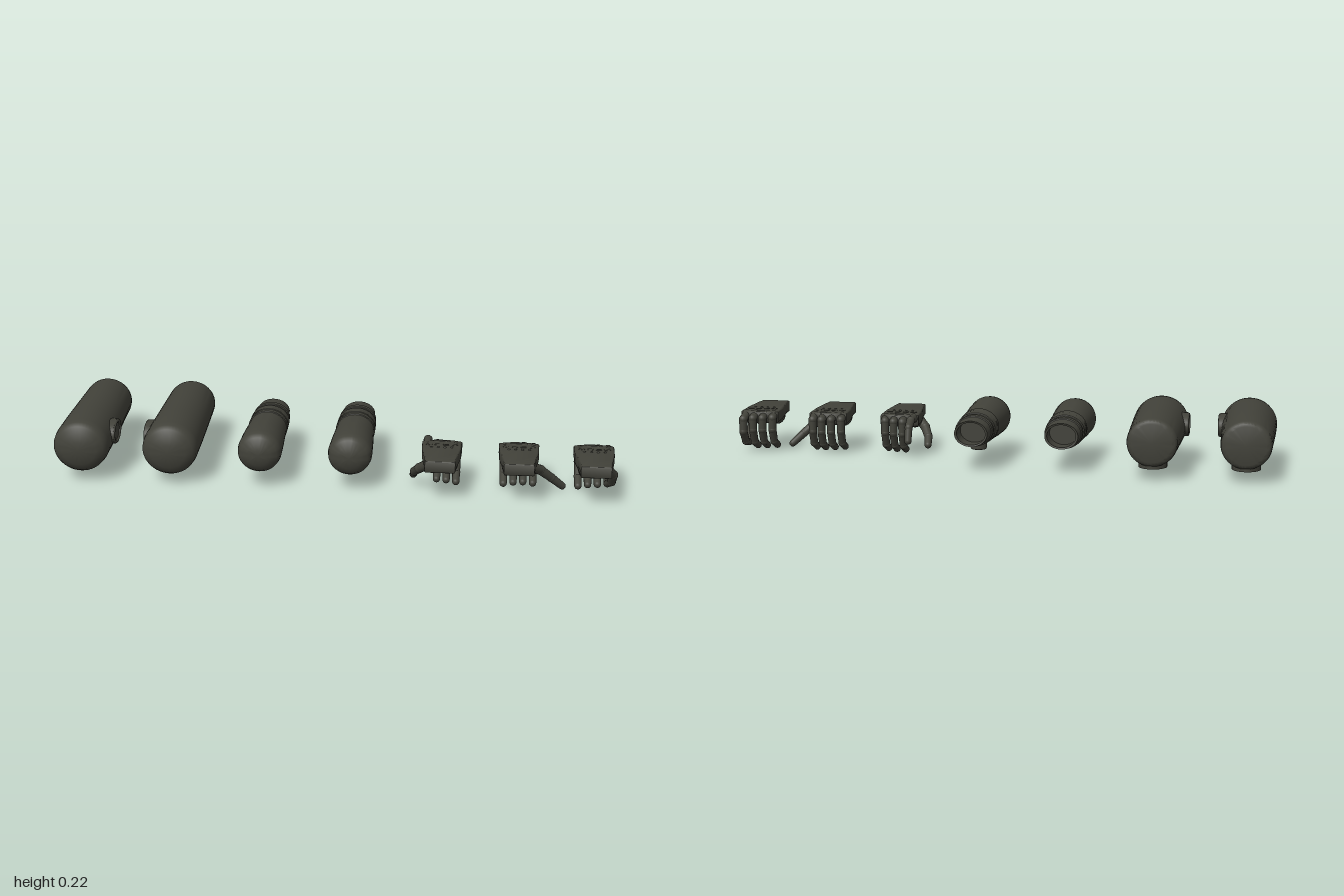
import * as THREE from 'three';
import { toCreasedNormals } from 'three/addons/utils/BufferGeometryUtils.js';

const charcoal = new THREE.MeshStandardMaterial({ color: 0x42423a });
charcoal.name = 'charcoal';

const V = (x, y, z) => new THREE.Vector3(x, y, z);

function add(parent, geometry, name, x = 0, y = 0, z = 0) {
  const mesh = new THREE.Mesh(geometry, charcoal);
  mesh.name = name;
  mesh.position.set(x, y, z);
  parent.add(mesh);
  return mesh;
}

// Round body along z from [z, radius] pairs, squashed in y by a rule
function limb(profile, squash) {
  let g = new THREE.LatheGeometry(profile.map(([z, r]) => new THREE.Vector2(r, z)), 48);
  g.rotateX(Math.PI / 2);
  const p = g.attributes.position;
  for (let i = 0; i < p.count; i++) p.setY(i, p.getY(i) * squash(p.getZ(i)));
  return toCreasedNormals(g, 0.6);
}

// Oval plate with a raised rim, facing +y before it is turned
function ovalPort(parent, name, length, width, height) {
  const port = new THREE.Group();
  port.name = name;
  parent.add(port);
  const base = new THREE.CylinderGeometry(0.5, 0.5, height, 32);
  base.scale(width, 1, length);
  add(port, base, 'portBase', 0, -height / 2, 0);
  const rim = new THREE.TorusGeometry(0.42, 0.07, 8, 32);
  rim.rotateX(Math.PI / 2);
  rim.scale(width, 0.08, length);
  add(port, rim, 'portRim');
  return port;
}

function upperArm(root, x, side) {
  const arm = new THREE.Group();
  arm.name = 'upperArm';
  arm.position.set(x, 0.135, 0);
  root.add(arm);
  const profile = [[-0.303, 0], [-0.303, 0.07], [-0.3, 0.079], [-0.291, 0.086], [-0.275, 0.088],
    [-0.1, 0.093], [0.05, 0.097], [0.18, 0.099], [0.208, 0.096], [0.225, 0.085],
    [0.237, 0.062], [0.245, 0.03], [0.247, 0]];
  add(arm, limb(profile, () => 0.955), 'armShell');
  const port = ovalPort(arm, 'sidePort', 0.13, 0.085, 0.03);
  port.position.set(side * 0.103, 0.01, 0.07);
  port.rotation.z = -side * Math.PI / 2;
  // Flat pad under the rear end
  const pad = new THREE.CylinderGeometry(0.05, 0.05, 0.02, 32);
  pad.scale(1, 1, 1.25);
  add(arm, pad, 'undersidePad', 0, -0.081, -0.232);
}

function forearm(root, x, withPort) {
  const arm = new THREE.Group();
  arm.name = 'forearm';
  arm.position.set(x, 0.137, 0);
  root.add(arm);
  // Hollow wrist socket, sleeve, stepped cuffs, then the shell
  const profile = [[-0.14, 0], [-0.14, 0.051], [-0.216, 0.051], [-0.218, 0.059], [-0.16, 0.063],
    [-0.158, 0.067], [-0.134, 0.068], [-0.131, 0.065], [-0.115, 0.066], [-0.112, 0.07],
    [-0.067, 0.071], [-0.064, 0.068], [-0.06, 0.071], [-0.036, 0.0715], [-0.034, 0.0685],
    [0, 0.07], [0.1, 0.075], [0.19, 0.078], [0.212, 0.075], [0.229, 0.064],
    [0.24, 0.042], [0.246, 0.02], [0.247, 0]];
  const squash = z => 0.78 + 0.18 * THREE.MathUtils.clamp((z + 0.22) / 0.3, 0, 1);
  add(arm, limb(profile, squash), 'forearmShell');
  if (withPort) {
    const port = ovalPort(arm, 'undersidePort', 0.06, 0.06, 0.025);
    port.position.set(0, -0.076, -0.05);
    port.rotation.z = Math.PI;
  }
}

// Chain of tapered segments with round joints
function digit(parent, name, points, r0, r1) {
  const group = new THREE.Group();
  group.name = name;
  parent.add(group);
  const last = points.length - 1;
  const radius = i => r0 + (r1 - r0) * i / last;
  points.forEach((p, i) => {
    const joint = i < last ? 1.06 : 1;
    add(group, new THREE.SphereGeometry(radius(i) * joint, 16, 12), 'joint', p.x, p.y, p.z);
    if (i === last) return;
    const dir = points[i + 1].clone().sub(p);
    const bone = add(group,
      new THREE.CylinderGeometry(radius(i + 1), radius(i), dir.length(), 16, 1, true), 'segment');
    bone.position.copy(p).addScaledVector(dir, 0.5);
    bone.quaternion.setFromUnitVectors(V(0, 1, 0), dir.normalize());
  });
}

const curl = zMin => [[0.09, 0.138], [zMin + 0.018, 0.128], [zMin + 0.018, 0.085],
  [zMin + 0.038, 0.038], [zMin + 0.08, 0.018]];

// Hand with the palm down; side is the direction of the thumb
function hand(root, x, side, indexPath, thumbPath) {
  const group = new THREE.Group();
  group.name = 'hand';
  group.position.x = x;
  root.add(group);

  // Palm block, narrow at the wrist and sloping toward the knuckles
  const outline = new THREE.Shape();
  outline.moveTo(-0.046, 0.297);
  outline.lineTo(0.046, 0.297);
  outline.bezierCurveTo(0.05, 0.24, 0.056, 0.21, 0.062, 0.16);
  outline.lineTo(0.064, 0.085);
  outline.quadraticCurveTo(0, 0.055, -0.064, 0.085);
  outline.lineTo(-0.062, 0.16);
  outline.bezierCurveTo(-0.056, 0.21, -0.05, 0.24, -0.046, 0.297);
  const palm = new THREE.ExtrudeGeometry(outline, {
    depth: 0.03, bevelEnabled: true, bevelThickness: 0.007, bevelSize: 0.007,
    bevelSegments: 4, curveSegments: 10 });
  palm.rotateX(Math.PI / 2);
  const p = palm.attributes.position;
  for (let i = 0; i < p.count; i++) {
    const slope = Math.max(0, 0.25 - p.getZ(i)) * 0.05;
    p.setY(i, p.getY(i) + 0.154 - slope);
  }
  add(group, toCreasedNormals(palm, 0.7), 'palm');

  // Fleshy thumb base and outer heel
  for (const [name, sx, width] of [['thumbBase', side * 0.036, 0.028], ['palmHeel', -side * 0.038, 0.022]]) {
    const pad = new THREE.SphereGeometry(1, 20, 14);
    pad.scale(width, 0.03, 0.06);
    add(group, pad, name, sx, 0.117, 0.2);
  }

  // Knuckle ridge, tendon plates and small studs
  const ridge = new THREE.CatmullRomCurve3([V(-0.062, 0.144, 0.098), V(-0.03, 0.149, 0.086),
    V(0.03, 0.149, 0.086), V(0.062, 0.144, 0.098)]);
  add(group, new THREE.TubeGeometry(ridge, 20, 0.005, 8), 'knuckleRidge');
  for (let i = 0; i < 4; i++) {
    const px = -0.045 + i * 0.03;
    const plate = add(group, new THREE.BoxGeometry(0.02, 0.006, 0.012), 'backPlate', px, 0.153, 0.125);
    plate.rotation.y = (i - 1.5) * 0.25;
    add(group, new THREE.SphereGeometry(0.006, 10, 8), 'backStud', px * 0.8, 0.153, 0.152);
  }

  // Fingers from little to index
  const paths = [curl(0.05), curl(0.036), curl(0.03), indexPath];
  const names = ['littleFinger', 'ringFinger', 'middleFinger', 'indexFinger'];
  paths.forEach((path, i) => {
    const fx = side * (-0.052 + i * 0.0347);
    digit(group, names[i], path.map(([z, y]) => V(fx, y, z)), 0.0165, 0.013);
  });
  digit(group, 'thumb', thumbPath.map(([tx, y, z]) => V(side * tx, y, z)), 0.019, 0.013);
}

export function createModel() {
  const root = new THREE.Group();
  root.name = 'armPartsSet';

  upperArm(root, -0.901, 1);
  upperArm(root, -0.581, -1);
  forearm(root, -0.26, false);
  forearm(root, 0.06, true);

  // Pointing hand
  hand(root, 0.38, -1,
    [[0.09, 0.138], [0.035, 0.138], [-0.002, 0.118], [-0.017, 0.07]],
    [[0.04, 0.12, 0.225], [0.075, 0.09, 0.19], [0.095, 0.06, 0.15], [0.1, 0.035, 0.115]]);
  // Open hand
  hand(root, 0.652, 1, curl(0.038),
    [[0.04, 0.122, 0.23], [0.075, 0.098, 0.19], [0.115, 0.06, 0.165], [0.155, 0.022, 0.145]]);
  // Pinching hand
  hand(root, 0.915, 1,
    [[0.09, 0.138], [0.042, 0.125], [0.04, 0.08], [0.07, 0.038], [0.115, 0.028]],
    [[0.042, 0.12, 0.225], [0.064, 0.09, 0.195], [0.062, 0.052, 0.165], [0.05, 0.032, 0.135]]);
  return root;
}
